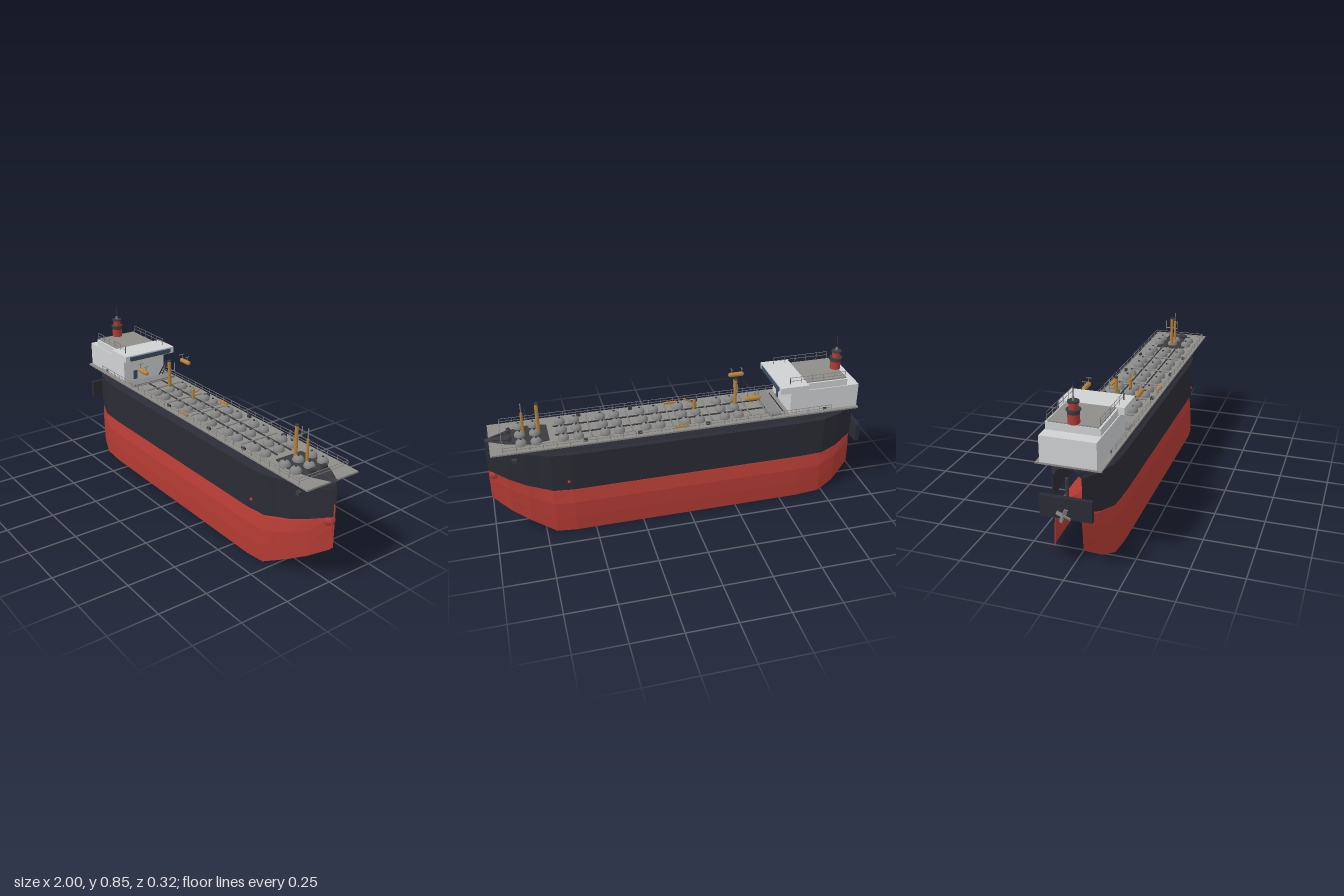
import * as THREE from 'three';

const mat = (name, color, extra = {}) => {
  const m = new THREE.MeshStandardMaterial({ color, ...extra });
  m.name = name;
  return m;
};

export function createModel() {
  const ship = new THREE.Group();
  ship.name = 'tankerShip';
  const red = mat('hullRed', 0xb23a33, { side: THREE.DoubleSide });
  const navy = mat('hullNavy', 0x2b2b35, { side: THREE.DoubleSide });
  const deckGrey = mat('deckGrey', 0x8f8d88);
  const white = mat('houseWhite', 0xcfd1d3);
  const steel = mat('steelGrey', 0x858585);
  const iron = mat('darkIron', 0x3a3b3e);
  const orange = mat('craneOrange', 0xb98235);
  const glass = mat('windowBlue', 0x35506a);

  const add = (name, geo, m, x = 0, y = 0, z = 0, parent = ship) => {
    const mesh = new THREE.Mesh(geo, m);
    mesh.name = name;
    mesh.position.set(x, y, z);
    parent.add(mesh);
    return mesh;
  };
  const box = (name, m, sx, sy, sz, x, y, z) => add(name, new THREE.BoxGeometry(sx, sy, sz), m, x, y, z);
  const post = (name, m, r, h, x, y, z, sides = 12) =>
    add(name, new THREE.CylinderGeometry(r, r, h, sides), m, x, y + h / 2, z);
  const rod = (name, m, r, a, b, sides = 6) => {
    const p = new THREE.Vector3(...a), q = new THREE.Vector3(...b);
    const mesh = add(name, new THREE.CylinderGeometry(r, r, p.distanceTo(q), sides), m);
    mesh.position.copy(p).add(q).multiplyScalar(0.5);
    mesh.quaternion.setFromUnitVectors(new THREE.Vector3(0, 1, 0), q.sub(p).normalize());
    return mesh;
  };

  // Hull stations: x, half width, keel height, waterline height
  const stations = [
    [-0.92, 0.065, 0.115, 0.3], [-0.82, 0.115, 0.04, 0.265], [-0.73, 0.145, 0.005, 0.25],
    [-0.6, 0.153, 0, 0.25], [0.6, 0.153, 0, 0.25], [0.7, 0.14, 0, 0.25], [0.76, 0.118, 0.03, 0.262],
    [0.82, 0.1, 0.062, 0.275], [0.91, 0.062, 0.113, 0.305], [1, 0.006, 0.175, 0.338],
  ];
  // Arched shell: section is [width fraction, height fraction] from edge to crown
  const shell = (name, m, section, low, high) => {
    const half = section.map(([w, h]) => [w, h]);
    const ring = [...half, ...half.slice(0, -1).reverse().map(([w, h]) => [-w, h])];
    const pos = [], idx = [], n = ring.length;
    for (const s of stations)
      for (const [w, h] of ring) pos.push(s[0], low(s) + (high(s) - low(s)) * h, w * s[1]);
    for (let i = 0; i < stations.length - 1; i++)
      for (let j = 0; j < n - 1; j++) {
        const a = i * n + j, b = a + n;
        idx.push(a, b, b + 1, a, b + 1, a + 1);
      }
    let g = new THREE.BufferGeometry();
    g.setAttribute('position', new THREE.Float32BufferAttribute(pos, 3));
    g.setIndex(idx);
    g = g.toNonIndexed();
    g.computeVertexNormals();
    add(name, g, m);
  };
  shell('lowerHull', red, [[1, 0], [0.98, 0.26], [0.94, 0.52], [0.81, 0.73], [0.45, 0.93], [0, 1]],
    s => s[2], s => s[3] + 0.06);
  shell('upperHull', navy, [[1, 0], [1, 0.82], [0.88, 0.85], [0.78, 0.92], [0.65, 0.96], [0.5, 0.985], [0, 1]],
    s => s[3], () => 0.498);

  // Deck and dark forecastle plate
  box('mainDeck', deckGrey, 1.89, 0.008, 0.3, 0.035, 0.502, 0);
  const fore = new THREE.Shape([[0.69, -0.075], [0.78, -0.09], [0.9, -0.06], [1, -0.006],
    [1, 0.006], [0.9, 0.06], [0.78, 0.09], [0.69, 0.075]].map(p => new THREE.Vector2(...p)));
  add('forecastlePlate', new THREE.ExtrudeGeometry(fore, { depth: 0.006, bevelEnabled: false }), iron, 0, 0.51, 0)
    .rotation.x = Math.PI / 2;

  // Bow ball, stem fitting, thruster caps and hawse fittings
  add('bowBall', new THREE.SphereGeometry(0.028, 14, 10), red, 0.972, 0.31, 0);
  post('stemFitting', red, 0.006, 0.05, 0.99, 0.25, 0, 8);
  for (const s of [-1, 1]) {
    add('thrusterCap', new THREE.SphereGeometry(0.008, 8, 6), red, 0.62, 0.3, s * 0.153);
    box('hawseFitting', iron, 0.025, 0.018, 0.02, 0.87, 0.425, s * 0.093);
  }

  // Stern plate, shaft and propeller
  box('sternPlate', navy, 0.022, 0.1, 0.24, -0.94, 0.325, 0);
  post('rudderStock', iron, 0.008, 0.17, -0.925, 0.29, 0, 8);
  rod('propellerShaft', steel, 0.007, [-0.9, 0.305, 0], [-1, 0.305, 0], 10);
  for (let i = 0; i < 4; i++) {
    const a = i * Math.PI / 2 + 0.4;
    const blade = box('propellerBlade', steel, 0.006, 0.032, 0.016, -0.975, 0.305 + Math.cos(a) * 0.018, Math.sin(a) * 0.018);
    blade.rotation.set(a, 0.5, 0);
  }

  // Deckhouse, bridge and windows
  box('deckhouse', white, 0.37, 0.127, 0.26, -0.722, 0.567, 0);
  box('upperHouse', white, 0.305, 0.036, 0.25, -0.69, 0.648, 0);
  box('houseRoof', deckGrey, 0.24, 0.006, 0.23, -0.72, 0.669, 0);
  box('bridgeWing', white, 0.15, 0.034, 0.31, -0.545, 0.656, 0);
  box('bridgeWindows', glass, 0.005, 0.018, 0.26, -0.469, 0.657, 0);
  box('bridgeLip', iron, 0.006, 0.004, 0.25, -0.469, 0.645, 0);
  box('houseDoor', glass, 0.005, 0.05, 0.024, -0.536, 0.533, 0.06);

  // Funnel with bands and mast
  post('funnel', red, 0.027, 0.045, -0.826, 0.67, 0, 20);
  post('funnelBand', iron, 0.0275, 0.018, -0.826, 0.714, 0, 20);
  post('funnelRing', iron, 0.033, 0.004, -0.826, 0.731, 0, 20);
  post('funnelTop', red, 0.021, 0.031, -0.826, 0.734, 0, 20);
  post('funnelCap', iron, 0.026, 0.007, -0.826, 0.765, 0, 20);
  post('mastBase', steel, 0.006, 0.018, -0.826, 0.77, 0, 8);
  post('mast', iron, 0.002, 0.06, -0.826, 0.785, 0, 6);

  // Railings: posts and two bars on each side, plus a bow bar
  const rail = (x0, x1, y, z, h, count) => {
    for (const f of [0.5, 1]) rod('railBar', steel, 0.0015, [x0, y + h * f, z], [x1, y + h * f, z], 5);
    for (let i = 0; i <= count; i++) post('railPost', steel, 0.0015, h, x0 + (x1 - x0) * i / count, y, z, 5);
  };
  for (const s of [-1, 1]) {
    rail(-0.76, 0.92, 0.505, s * 0.143, 0.03, 26);
    rail(-0.83, -0.53, 0.672, s * 0.12, 0.036, 5);
    post('bridgeAntenna', iron, 0.002, 0.04, -0.53, 0.672, s * 0.122, 6);
  }
  for (const h of [0.52, 0.535]) rod('bowRail', steel, 0.0015, [0.92, h, -0.143], [0.92, h, 0.143], 5);

  // Domed tank hatches: six pairs in three rows
  const dome = new THREE.LatheGeometry([[0.027, 0], [0.027, 0.012], [0.021, 0.022], [0.01, 0.028], [0, 0.029]]
    .map(p => new THREE.Vector2(...p)), 16);
  for (let k = 0; k < 6; k++)
    for (const dx of [0, 0.073])
      for (const z of [-0.08, 0, 0.08]) {
        const x = -0.275 + k * 0.206 + dx;
        add('tankHatch', dome, steel, x, 0.506, z);
        post('hatchKnob', iron, 0.005, 0.005, x, 0.534, z, 8);
      }

  // Deck pipes and cross pipes
  for (const z of [-0.042, 0.042]) rod('deckPipe', iron, 0.004, [-0.43, 0.512, z], [0.66, 0.512, z]);
  for (const x of [-0.42, -0.335, -0.13, 0.04, 0.075, 0.28, 0.485])
    rod('crossPipe', steel, 0.004, [x, 0.514, -0.105], [x, 0.514, 0.105]);
  box('houseStep', steel, 0.06, 0.012, 0.26, -0.46, 0.512, 0);
  for (const s of [-1, 1]) {
    box('manifold', orange, 0.07, 0.01, 0.012, 0.035, 0.515, s * 0.125);
    for (const x of [-0.73, -0.1, 0.25, 0.52]) box('mooringBitt', iron, 0.02, 0.014, 0.012, x, 0.512, s * 0.125);
  }

  // Windlasses on the forecastle
  for (const z of [-0.035, 0.035]) {
    rod('windlassDrum', iron, 0.011, [0.88, 0.523, z - 0.016], [0.88, 0.523, z + 0.016], 12);
    rod('anchorChain', iron, 0.004, [0.88, 0.513, z], [0.96, 0.513, z * 0.4]);
  }

  // Orange masts and the deck crane
  post('aftMast', orange, 0.009, 0.17, -0.28, 0.505, 0);
  post('foreMast', orange, 0.009, 0.17, 0.735, 0.505, 0);
  post('bowMast', orange, 0.007, 0.13, 0.81, 0.505, 0);
  post('bowAntenna', steel, 0.003, 0.05, 0.81, 0.635, 0, 6);
  for (const x of [-0.28, 0.735]) {
    post('mastCap', iron, 0.01, 0.006, x, 0.673, 0);
    rod('mastCrossbar', steel, 0.003, [x, 0.617, -0.033], [x, 0.617, 0.033]);
    for (const s of [-1, 1]) post('mastStay', steel, 0.0025, 0.048, x, 0.612, s * 0.033, 6);
  }
  post('cranePost', orange, 0.008, 0.08, -0.06, 0.505, 0);
  rod('craneJib', orange, 0.004, [-0.06, 0.565, 0], [-0.005, 0.6, 0], 8);

  // Lifeboats hung from small davits
  for (const s of [-1, 1]) {
    add('lifeboat', new THREE.CapsuleGeometry(0.012, 0.062, 5, 12), orange, -0.327, 0.63, s * 0.134)
      .rotation.z = Math.PI / 2;
    for (const x of [-0.355, -0.3]) {
      post('davitPost', steel, 0.002, 0.03, x, 0.635, s * 0.134, 6);
      rod('davitArm', steel, 0.002, [x, 0.664, s * 0.145], [x, 0.664, s * 0.115]);
    }
  }

  // Sloping ladder to the bridge
  for (const z of [-0.102, -0.08]) rod('ladderRail', iron, 0.003, [-0.51, 0.51, z], [-0.435, 0.615, z]);
  for (let i = 1; i < 8; i++) {
    const t = i / 8;
    rod('ladderRung', iron, 0.002, [-0.51 + 0.075 * t, 0.51 + 0.105 * t, -0.102], [-0.51 + 0.075 * t, 0.51 + 0.105 * t, -0.08]);
  }
  return ship;
}
